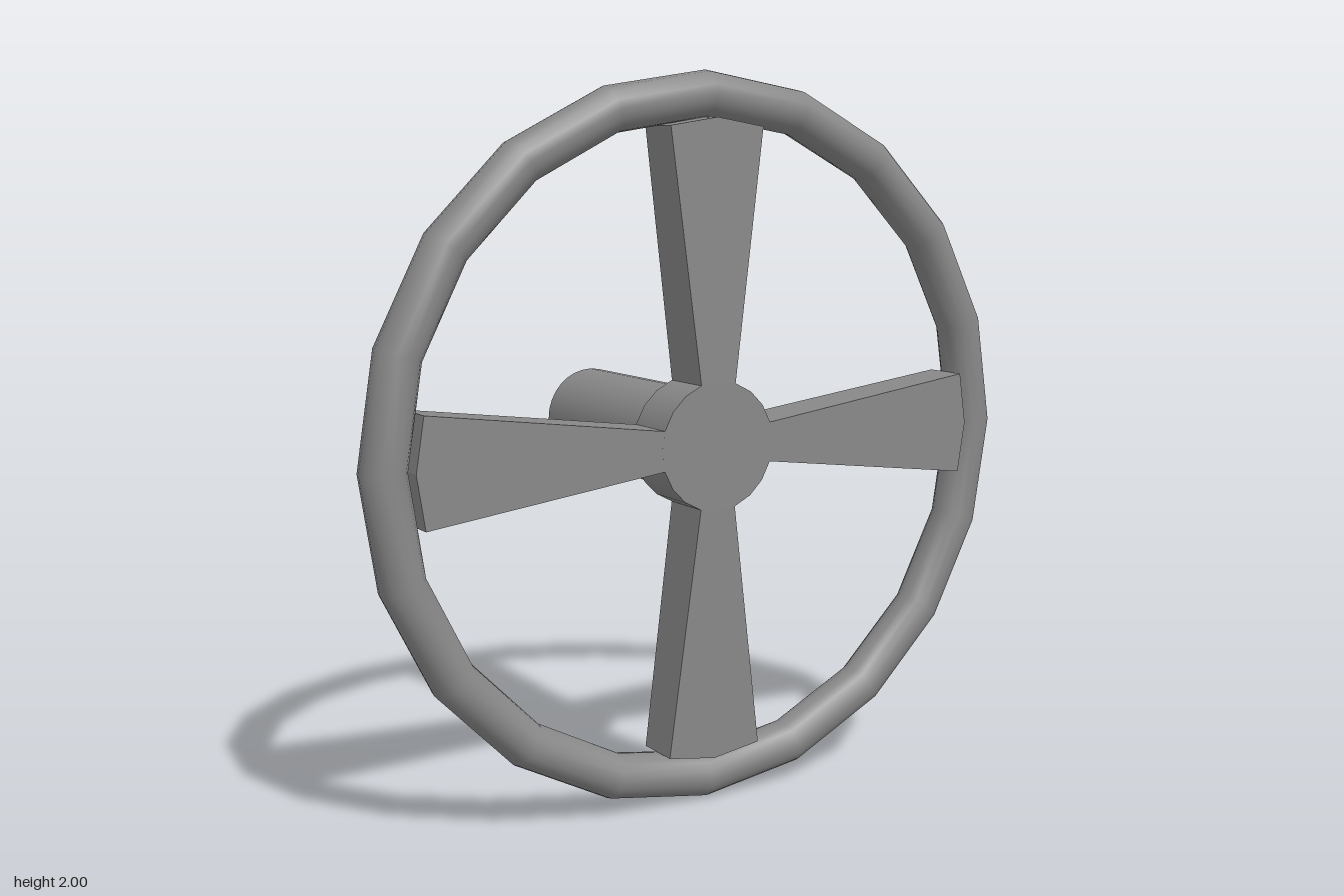
import * as THREE from 'three';

const material = new THREE.MeshStandardMaterial({ color: 0x888888 });
const WHEEL_Z = 0.28;

function add(parent, name, geometry, z) {
  const mesh = new THREE.Mesh(geometry, material);
  mesh.name = name;
  mesh.position.z = z;
  parent.add(mesh);
  return mesh;
}

// Flared spoke along +x: widens outwards, thins slightly, ends in a shallow point against the rim
function spokeGeometry() {
  const inner = 0.165, outer = 0.875;
  const shape = new THREE.Shape([
    [inner, -0.054], [0.852, -0.145], [outer, 0], [0.852, 0.145], [inner, 0.054],
  ].map(([x, y]) => new THREE.Vector2(x, y)));
  const geometry = new THREE.ExtrudeGeometry(shape, { depth: 2, bevelEnabled: false });
  geometry.translate(0, 0, -1);
  const pos = geometry.attributes.position;
  for (let i = 0; i < pos.count; i++) {
    const t = (pos.getX(i) - inner) / (outer - inner);
    pos.setZ(i, pos.getZ(i) * THREE.MathUtils.lerp(0.075, 0.064, t));
  }
  geometry.computeVertexNormals();
  return geometry;
}

export function createModel() {
  const model = new THREE.Group();
  model.name = 'handwheel';

  const wheel = new THREE.Group();
  wheel.name = 'wheel';
  wheel.position.y = 1;
  model.add(wheel);

  // Twenty-sided rim with a smooth round section
  add(wheel, 'rim', new THREE.TorusGeometry(0.9375, 0.0625, 16, 20), WHEEL_Z);

  // Hub disc and the shaft behind it
  add(wheel, 'hub', new THREE.CylinderGeometry(0.177, 0.177, 0.15, 20).rotateX(Math.PI / 2), WHEEL_Z);
  add(wheel, 'shaft', new THREE.CylinderGeometry(0.142, 0.142, 0.6, 32).rotateX(Math.PI / 2), -0.055);

  // Four spokes
  const spoke = spokeGeometry();
  for (let i = 0; i < 4; i++) {
    add(wheel, `spoke${i + 1}`, spoke, WHEEL_Z).rotation.z = (i * Math.PI) / 2;
  }
  return model;
}
